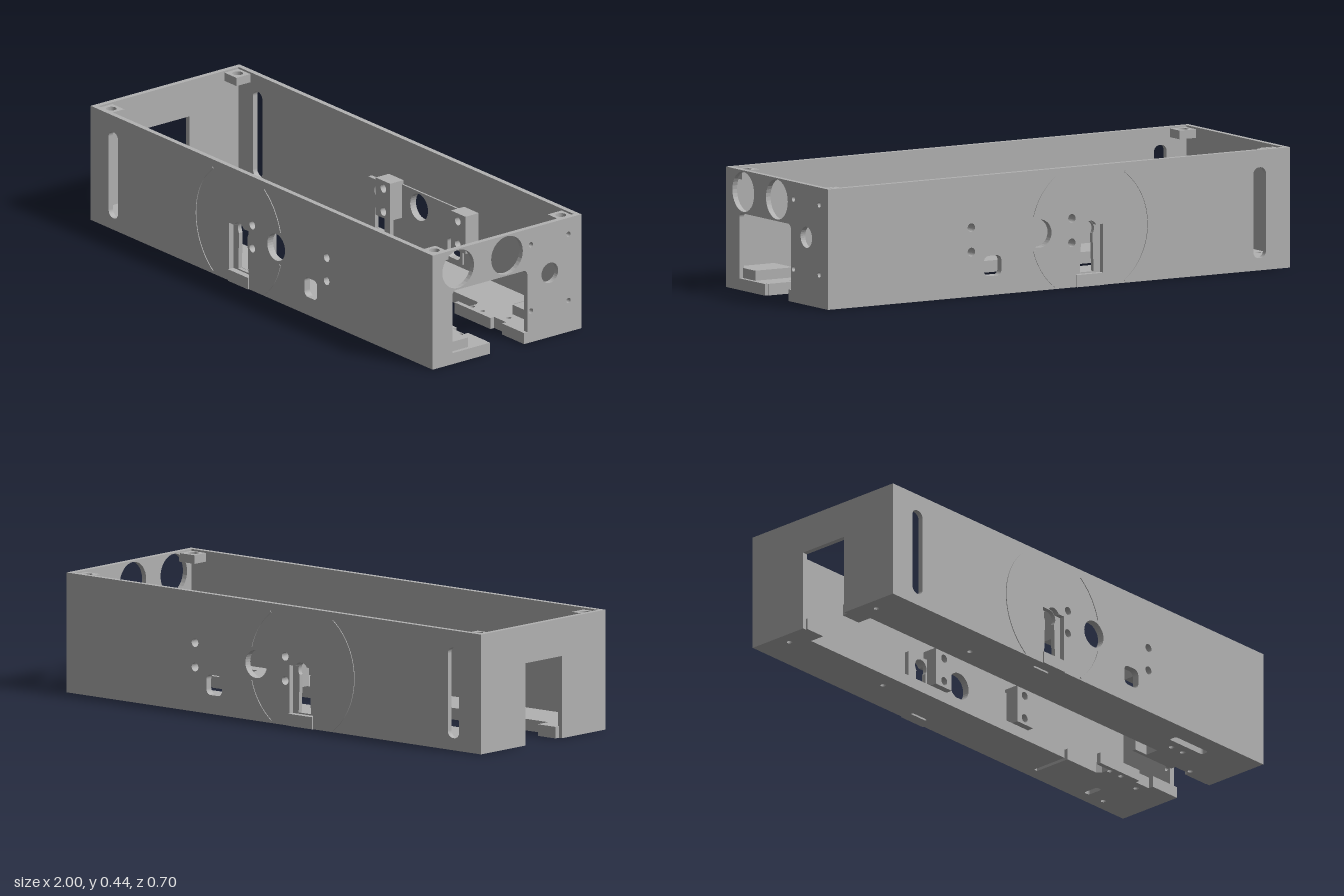
import * as THREE from 'three';

const W = 0.347, T = 0.02, H = 0.444, FLOOR = 0.043;

const poly = (pts) => new THREE.Shape(pts.map(([x, y]) => new THREE.Vector2(x, y)));

function circle(x, y, r) {
  const p = new THREE.Path();
  p.absarc(x, y, r, 0, Math.PI * 2, false);
  return p;
}

function roundRect(x0, y0, x1, y1, r) {
  const p = new THREE.Path();
  p.absarc(x1 - r, y0 + r, r, -Math.PI / 2, 0, false);
  p.absarc(x1 - r, y1 - r, r, 0, Math.PI / 2, false);
  p.absarc(x0 + r, y1 - r, r, Math.PI / 2, Math.PI, false);
  p.absarc(x0 + r, y0 + r, r, Math.PI, Math.PI * 1.5, false);
  p.closePath();
  return p;
}

function extrude(shape, depth, holes = []) {
  shape.holes.push(...holes);
  return new THREE.ExtrudeGeometry(shape, { depth, bevelEnabled: false, curveSegments: 16 });
}

export function createModel() {
  const model = new THREE.Group();
  model.name = 'enclosure';
  const grey = new THREE.MeshStandardMaterial({ color: 0xb2b2b2 });
  grey.name = 'grey';

  const add = (name, geometry) => {
    const mesh = new THREE.Mesh(geometry, grey);
    mesh.name = name;
    model.add(mesh);
  };
  const box = (name, x0, x1, y0, y1, z0, z1) => add(name,
    new THREE.BoxGeometry(x1 - x0, y1 - y0, z1 - z0)
      .translate((x0 + x1) / 2, (y0 + y1) / 2, (z0 + z1) / 2));
  // Upright plate spanning |z| = a..b on the front (s = 1) or back (s = -1)
  const sidePlate = (name, s, shape, a, b, holes) => add(name,
    extrude(shape, b - a, holes).translate(0, 0, s > 0 ? a : -b));
  // Flat plate drawn in x and z, between two heights
  const flatPlate = (name, shape, y0, y1, holes) => add(name,
    extrude(shape, y1 - y0, holes).rotateX(Math.PI / 2).translate(0, y1, 0));
  // End plate drawn in -z and y
  const endPlate = (name, shape, x, holes) => add(name,
    extrude(shape, T, holes).rotateY(Math.PI / 2).translate(x, 0, 0));

  const motorHole = () => circle(0.085, 0.21, 0.052);
  const squareHole = () => roundRect(0.25, 0.07, 0.325, 0.145, 0.02);
  const screwPair = (x) => [circle(x, 0.255, 0.016), circle(x, 0.165, 0.016)];

  for (const s of [1, -1]) {
    const side = s > 0 ? 'front' : 'back';

    // Long wall with the latch recess opening at its foot
    const wall = new THREE.Shape();
    wall.moveTo(-1, 0);
    wall.lineTo(-0.19, 0);
    wall.lineTo(-0.19, 0.225);
    wall.lineTo(-0.163, 0.225);
    wall.absarc(-0.1325, 0.21, 0.031, Math.PI * 0.85, Math.PI * 0.15, true);
    wall.lineTo(-0.102, 0.225);
    wall.lineTo(-0.075, 0.225);
    wall.lineTo(-0.075, 0);
    wall.lineTo(1, 0);
    wall.lineTo(1, H);
    wall.lineTo(-1, H);
    wall.closePath();
    sidePlate(side + 'Wall', s, wall, W - T, W, [
      roundRect(-0.895, 0.045, -0.84, 0.38, 0.025), motorHole(), squareHole(),
      ...screwPair(-0.055), ...screwPair(0.38)]);

    // Recessed latch plate with keyhole, and the tab below it
    const key = new THREE.Path();
    key.moveTo(-0.162, 0.05);
    key.lineTo(-0.103, 0.05);
    key.lineTo(-0.108, 0.19);
    key.absarc(-0.1325, 0.208, 0.031, -0.6, Math.PI + 0.6, false);
    key.lineTo(-0.157, 0.19);
    key.closePath();
    sidePlate(side + 'LatchPlate', s,
      poly([[-0.2, 0], [-0.072, 0], [-0.072, 0.25], [-0.2, 0.25]]), 0.31, W - T, [key]);
    const [t0, t1] = s > 0 ? [0.32, 0.352] : [-0.352, -0.32];
    box(side + 'LatchTab', -0.19, -0.075, 0, 0.045, t0, t1);

    // Thin raised arcs around the latch
    for (const [mid, from, to] of [[0, 0.25, 0.94], [0, -0.94, -0.25], [Math.PI, -0.94, 0.94]]) {
      const arc = new THREE.Shape();
      arc.absarc(-0.135, 0.21, 0.255, mid + from, mid + to, false);
      arc.absarc(-0.135, 0.21, 0.247, mid + to, mid + from, true);
      arc.closePath();
      sidePlate(side + 'RaisedArc', s, arc, W, W + 0.003);
    }

    // Inner mounting pad and two drilled mounting blocks
    sidePlate(side + 'MountPad', s,
      poly([[-0.015, 0.06], [0.34, 0.06], [0.34, 0.27], [-0.015, 0.27]]),
      0.32, W - T, [motorHole(), squareHole()]);
    for (const x of [-0.0575, 0.3825]) {
      sidePlate(side + 'MountBlock', s,
        poly([[x - 0.0425, 0.14], [x + 0.0425, 0.14], [x + 0.0425, 0.285], [x - 0.0425, 0.285]]),
        0.265, W - T, screwPair(x < 0 ? -0.055 : 0.38));
    }

    // Corner screw bosses under the rim
    for (const e of [1, -1]) {
      const [a, b, c, d] = [e * 0.91, e * 0.985, s * 0.262, s * 0.33];
      flatPlate('cornerBoss', poly([[a, c], [b, c], [b, d], [a, d]]), 0.405, 0.437,
        [circle(e * 0.945, s * 0.295, 0.02)]);
    }

    // Raised pad on the floor beside the open end
    const [p0, p1] = s > 0 ? [0.17, 0.3] : [-0.3, -0.17];
    box(side + 'FloorPad', 0.82, 0.985, 0.04, 0.08, p0, p1);
  }

  // Floor strips either side of the central channel
  const slit = (s) => roundRect(-0.19, s * 0.302 - 0.005, -0.11, s * 0.302 + 0.005, 0.004);
  flatPlate('frontFloor', poly([
    [-0.985, 0.33], [-0.985, 0.085], [-0.9, 0.085], [-0.9, 0.143], [0.65, 0.143], [0.65, 0.09],
    [0.59, 0.09], [0.59, 0.075], [0.8, 0.075], [0.8, 0.095], [0.87, 0.095], [0.87, 0.078],
    [0.985, 0.078], [0.985, 0.33]]), 0, FLOOR, [
    slit(1), roundRect(0.61, 0.24, 0.785, 0.272, 0.01), circle(-0.945, 0.215, 0.01),
    circle(-0.44, 0.215, 0.01), circle(0.665, 0.2, 0.01), circle(0.725, 0.2, 0.01),
    circle(0.865, 0.11, 0.01)]);
  flatPlate('backFloor', poly([
    [-0.985, -0.33], [-0.985, -0.09], [-0.9, -0.09], [-0.9, -0.15], [0.468, -0.15],
    [0.468, -0.3], [0.485, -0.3], [0.485, -0.15], [0.64, -0.15], [0.655, -0.135], [0.655, -0.1],
    [0.59, -0.1], [0.59, -0.082], [0.8, -0.082], [0.8, -0.1], [0.87, -0.1], [0.87, -0.08],
    [0.985, -0.08], [0.985, -0.33]]), 0, FLOOR, [
    slit(-1), roundRect(0.737, -0.3, 0.763, -0.235, 0.01), circle(-0.945, -0.215, 0.01),
    circle(-0.44, -0.215, 0.01), circle(0.665, -0.105, 0.01), circle(0.725, -0.105, 0.01),
    circle(0.84, -0.135, 0.01), circle(0.84, -0.297, 0.01)]);

  // Left end wall with its doorway
  const B = W - 0.015;
  endPlate('leftEndWall', poly([
    [-B, 0], [-0.105, 0], [-0.105, 0.305], [0.098, 0.305], [0.098, 0], [B, 0], [B, H], [-B, H]]),
  -1);

  // Right end wall with the wide window, cable holes and screw holes
  const end = new THREE.Shape();
  end.moveTo(-B, 0);
  end.lineTo(-0.08, 0);
  end.lineTo(-0.08, FLOOR);
  end.lineTo(-0.255, FLOOR);
  end.absarc(-0.237, 0.267, 0.018, Math.PI, Math.PI / 2, true);
  end.absarc(0.077, 0.267, 0.018, Math.PI / 2, 0, true);
  end.lineTo(0.095, FLOOR);
  end.lineTo(0.08, FLOOR);
  end.lineTo(0.08, 0);
  end.lineTo(B, 0);
  end.lineTo(B, H);
  end.lineTo(-B, H);
  end.closePath();
  const screws = [[0.112, 0.38], [0.287, 0.38], [0.112, 0.122], [0.287, 0.122]];
  endPlate('rightEndWall', end, 1 - T, [
    circle(-0.228, 0.365, 0.074), circle(0, 0.365, 0.074), circle(0.2, 0.25, 0.039),
    ...screws.map(([u, y]) => circle(u, y, 0.01))]);

  return model;
}
